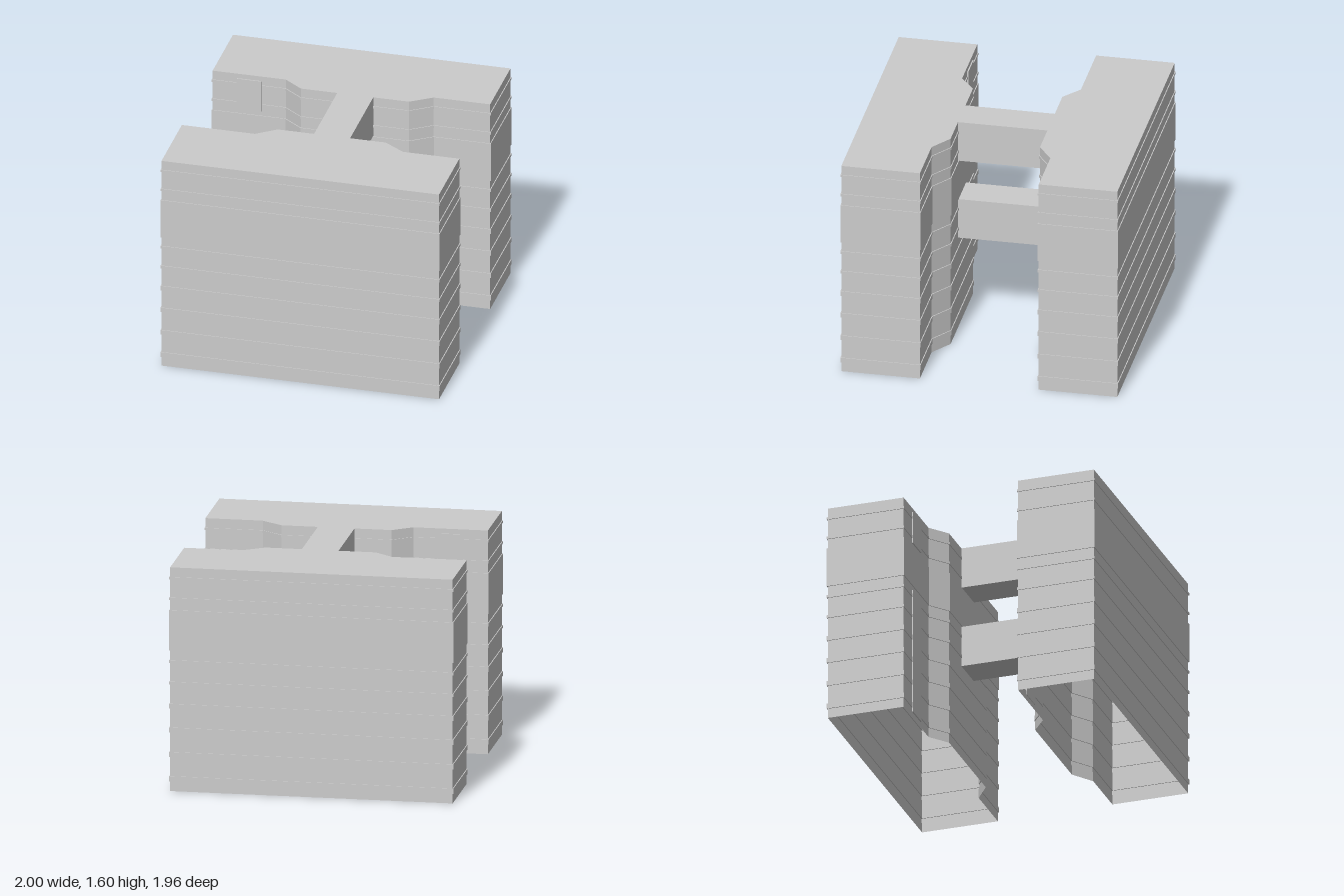
import * as THREE from 'three';

const material = new THREE.MeshStandardMaterial({ color: 0xcccccc, flatShading: true, side: THREE.DoubleSide });

// Plan of one wing (x, z), with a projecting bay on the courtyard side
const plan = [
  [-0.994, 0.42], [-0.47, 0.42], [-0.335, 0.316], [0.44, 0.316],
  [0.59, 0.42], [0.994, 0.42], [0.994, 0.976], [-0.994, 0.976],
].map(([x, z]) => new THREE.Vector2(x, z));

const HEIGHT = 1.6;
const RELIEF = 0.006;

// Raised courses around the walls: [bottom, top]
const courses = [
  [0.07, 0.107], [0.245, 0.28], [0.42, 0.455], [0.59, 0.625], [0.763, 0.783],
  [0.917, 0.937], [1.005, 1.295], [1.366, 1.384], [1.515, 1.532],
];

// Push the plan outward by d with mitred corners
function offsetPlan(d) {
  const n = plan.length;
  const outward = (a, b) => new THREE.Vector2(b.y - a.y, a.x - b.x).normalize();
  return plan.map((p, i) => {
    const n1 = outward(plan[(i + n - 1) % n], p);
    const n2 = outward(p, plan[(i + 1) % n]);
    const m = n1.clone().add(n2);
    return m.multiplyScalar(d / (1 + n1.dot(n2))).add(p);
  });
}

// Walls lofted from stacked plans, stepping out at each course
function wallGeometry() {
  const flat = offsetPlan(0);
  const raised = offsetPlan(RELIEF);
  const rings = [{ y: 0, pts: flat }];
  for (const [y0, y1] of courses) {
    rings.push({ y: y0, pts: flat }, { y: y0, pts: raised }, { y: y1, pts: raised }, { y: y1, pts: flat });
  }
  rings.push({ y: HEIGHT, pts: flat });

  const positions = [];
  for (let r = 0; r < rings.length - 1; r++) {
    const lo = rings[r], hi = rings[r + 1];
    for (let i = 0; i < plan.length; i++) {
      const j = (i + 1) % plan.length;
      const a = [lo.pts[i].x, lo.y, lo.pts[i].y];
      const b = [lo.pts[j].x, lo.y, lo.pts[j].y];
      const c = [hi.pts[j].x, hi.y, hi.pts[j].y];
      const d = [hi.pts[i].x, hi.y, hi.pts[i].y];
      positions.push(...a, ...d, ...b, ...b, ...d, ...c);
    }
  }
  const geometry = new THREE.BufferGeometry();
  geometry.setAttribute('position', new THREE.Float32BufferAttribute(positions, 3));
  geometry.computeVertexNormals();
  return geometry;
}

function roofGeometry() {
  const shape = new THREE.Shape(plan.map((p) => new THREE.Vector2(p.x, -p.y)));
  return new THREE.ShapeGeometry(shape).rotateX(-Math.PI / 2).translate(0, HEIGHT, 0);
}

function addMesh(parent, name, geometry) {
  const mesh = new THREE.Mesh(geometry, material);
  mesh.name = name;
  parent.add(mesh);
  return mesh;
}

function addBox(parent, name, [x0, x1], [y0, y1], [z0, z1]) {
  const mesh = addMesh(parent, name, new THREE.BoxGeometry(x1 - x0, y1 - y0, z1 - z0));
  mesh.position.set((x0 + x1) / 2, (y0 + y1) / 2, (z0 + z1) / 2);
}

// One hollow wing, open underneath
function createWing(name) {
  const wing = new THREE.Group();
  wing.name = name;
  addMesh(wing, 'walls', wallGeometry());
  addMesh(wing, 'roof', roofGeometry());
  // Tall stair panels on the courtyard wall
  addBox(wing, 'lowerPanel', [-0.82, -0.64], [0.04, 0.97], [0.411, 0.424]);
  addBox(wing, 'upperPanel', [-0.82, -0.64], [1.33, 1.565], [0.411, 0.424]);
  return wing;
}

export function createModel() {
  const model = new THREE.Group();
  model.name = 'building';

  const back = createWing('backWing');
  back.scale.z = -1;
  model.add(createWing('frontWing'), back);

  // Bridges joining the wings
  addBox(model, 'lowerBridge', [-0.074, 0.184], [0.7, 1.0], [-0.318, 0.318]);
  addBox(model, 'upperBridge', [-0.074, 0.184], [1.3, HEIGHT], [-0.318, 0.318]);
  return model;
}
